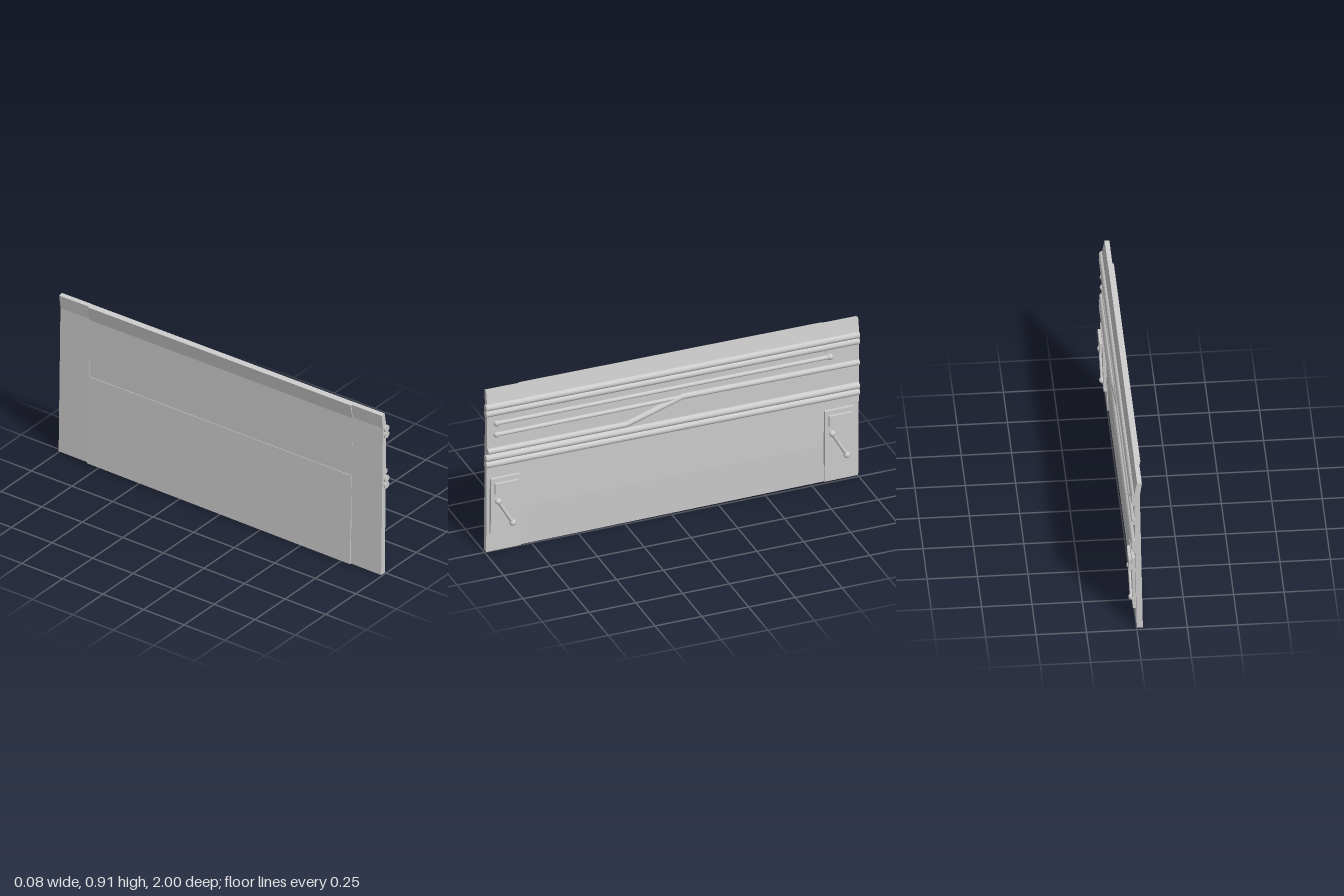
import * as THREE from 'three';

const material = new THREE.MeshStandardMaterial({ color: 0xcccccc });

export function createModel() {
  const model = new THREE.Group();

  const add = (name, geometry, parent = model) => {
    const mesh = new THREE.Mesh(geometry, material);
    mesh.name = name;
    parent.add(mesh);
    return mesh;
  };

  // Sheet with an x-y outline, running from z0 to z1; slightly skewed lengthwise
  const sheet = (name, outline, z0, z1) => {
    const shape = new THREE.Shape(outline.map(([x, y]) => new THREE.Vector2(x, y)));
    const geometry = new THREE.ExtrudeGeometry(shape, { depth: z1 - z0, bevelEnabled: false });
    geometry.translate(0, 0, z0);
    const p = geometry.attributes.position;
    for (let i = 0; i < p.count; i++) {
      p.setY(i, p.getY(i) + 0.005 * p.getZ(i) * (p.getY(i) - 0.45) / 0.45);
    }
    geometry.computeVertexNormals();
    add(name, geometry);
  };

  // Round bar between two points
  const bar = (name, a, b, radius, parent = model) => {
    const from = new THREE.Vector3(...a), to = new THREE.Vector3(...b);
    const dir = to.clone().sub(from);
    const mesh = add(name, new THREE.CylinderGeometry(radius, radius, dir.length(), 20), parent);
    mesh.position.copy(from).add(to).multiplyScalar(0.5);
    mesh.quaternion.setFromUnitVectors(new THREE.Vector3(0, 1, 0), dir.normalize());
  };

  const ball = (name, at, radius, parent = model) =>
    add(name, new THREE.SphereGeometry(radius, 20, 14), parent).position.set(...at);

  // End panels with the bent top lip
  const endOutline = [
    [-0.03, 0.005], [0, 0.005], [0.013, 0.835], [-0.001, 0.91], [-0.025, 0.906], [-0.015, 0.83],
  ];
  sheet('frontEndPanel', endOutline, 0.805, 0.992);
  sheet('rearEndPanel', endOutline, -0.996, -0.815);

  // Middle panel: lower half stands proud at the back, upper half is slightly recessed
  sheet('lowerMiddlePanel', [
    [-0.039, 0.005], [-0.006, 0.005], [0.003, 0.22], [0.008, 0.5], [-0.0225, 0.5],
  ], -0.815, 0.805);
  sheet('upperMiddlePanel', [
    [-0.0195, 0.5], [0.008, 0.5], [0.0125, 0.835], [-0.002, 0.91], [-0.032, 0.905], [-0.017, 0.825],
  ], -0.815, 0.805);

  // Paired full-length rails
  for (const y of [0.825, 0.791, 0.538, 0.502]) {
    bar('rail', [0.009, y, 1], [0.009, y - 0.011, -0.995], 0.0185);
  }

  // Stepped pipe with a slanted middle
  const joints = [[0.011, 0.576, 0.99], [0.011, 0.573, 0.25], [0.011, 0.667, -0.05], [0.011, 0.659, -0.995]];
  for (let i = 0; i < 3; i++) bar('steppedPipe', joints[i], joints[i + 1], 0.0155);
  for (const joint of joints.slice(1, 3)) ball('pipeElbow', joint, 0.0155);

  // Thin rods with ball ends
  bar('upperThinRod', [0.011, 0.728, 0.94], [0.011, 0.722, -0.84], 0.011);
  ball('upperRodBall', [0.011, 0.728, 0.94], 0.0165);
  ball('upperRodBall', [0.011, 0.722, -0.84], 0.0165);
  bar('lowerThinRod', [0.011, 0.664, 0.94], [0.011, 0.665, -0.05], 0.011);
  ball('lowerRodBall', [0.011, 0.664, 0.94], 0.0165);

  // Handle plates on both end panels
  for (const z of [0.897, -0.888]) {
    const unit = new THREE.Group();
    unit.name = 'handleUnit';
    unit.position.set(0.011, 0.265, z);
    unit.rotation.z = -0.016;
    model.add(unit);
    add('handlePlate', new THREE.BoxGeometry(0.018, 0.31, 0.156), unit);
    add('handleBlock', new THREE.BoxGeometry(0.03, 0.06, 0.124), unit).position.set(0.008, 0.101, -0.002);
    const top = [0.0125, 0.025, 0.04], bottom = [0.0115, -0.113, -0.038];
    bar('handleRod', top, bottom, 0.0095, unit);
    ball('handleBall', top, 0.0165, unit);
    ball('handleBall', bottom, 0.0165, unit);
  }

  return model;
}
